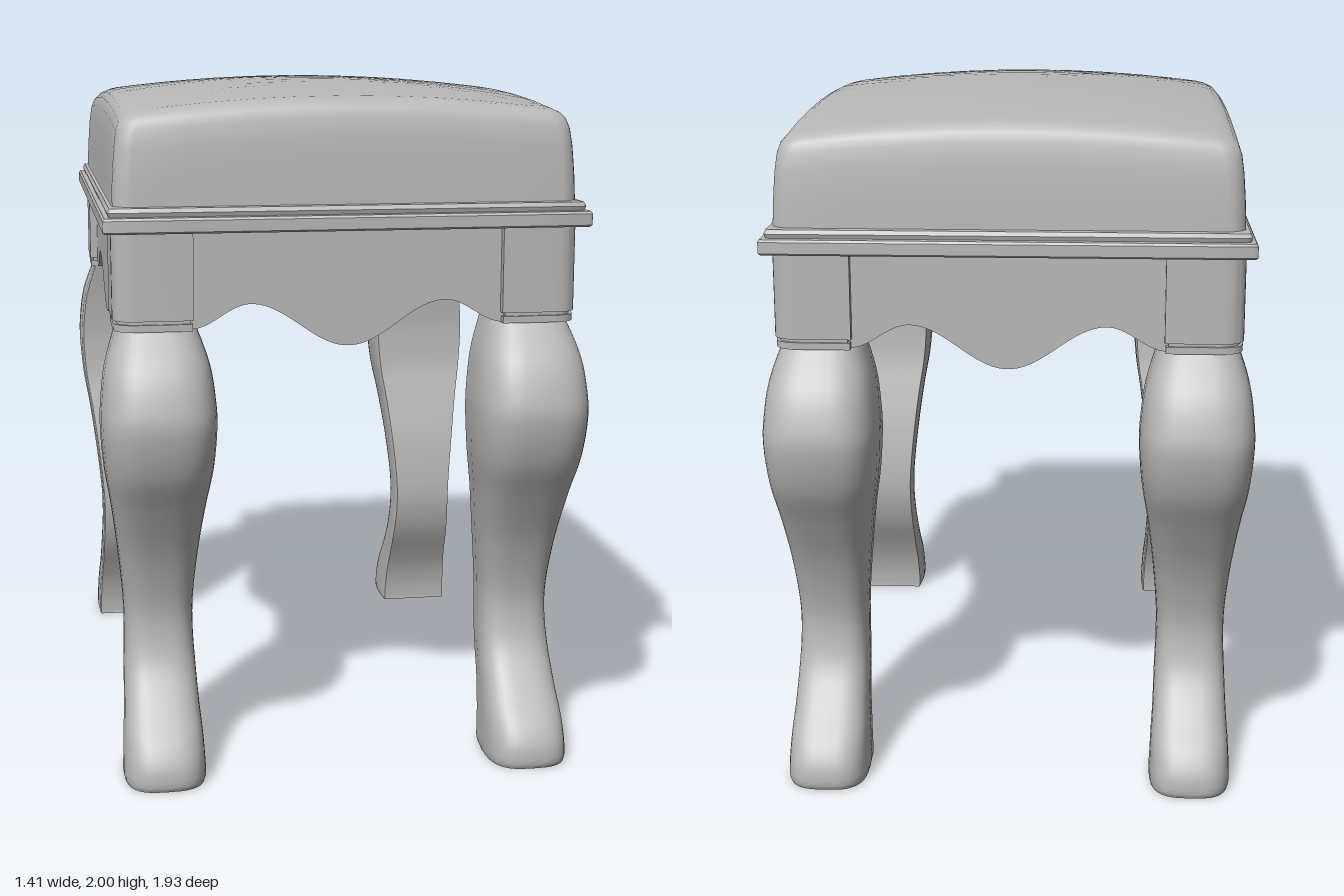
import * as THREE from 'three';
import { toCreasedNormals } from 'three/addons/utils/BufferGeometryUtils.js';

const material = new THREE.MeshStandardMaterial({ color: 0xb8b8b8 });
material.name = 'plain grey';

function part(name, geometry, parent) {
  const mesh = new THREE.Mesh(geometry, material);
  mesh.name = name;
  parent.add(mesh);
  return mesh;
}

// Skin over closed rings listed from bottom to top, with flat end caps
function loft(rings, crease) {
  const n = rings[0].length, pos = [], index = [];
  rings.forEach(r => r.forEach(p => pos.push(...p)));
  for (let i = 0; i < rings.length - 1; i++) {
    for (let j = 0; j < n; j++) {
      const a = i * n + j, b = i * n + (j + 1) % n;
      index.push(a, b, b + n, a, b + n, a + n);
    }
  }
  [0, rings.length - 1].forEach((r, top) => {
    const c = pos.length / 3;
    pos.push(...[0, 1, 2].map(k => rings[r].reduce((s, p) => s + p[k], 0) / n));
    for (let j = 0; j < n; j++) {
      const a = r * n + j, b = r * n + (j + 1) % n;
      index.push(c, top ? a : b, top ? b : a);
    }
  });
  const g = new THREE.BufferGeometry();
  g.setAttribute('position', new THREE.Float32BufferAttribute(pos, 3));
  g.setIndex(index);
  return toCreasedNormals(g, crease);
}

// Rounded rectangle as [x, z] points, counter-clockwise from above
function roundedLoop(hx, hz, r) {
  const pts = [], line = 8, arc = 6;
  const corners = [[1, 1], [-1, 1], [-1, -1], [1, -1]];
  corners.forEach(([sx, sy], q) => {
    const cx = sx * (hx - r), cy = sy * (hz - r);
    for (let k = 0; k <= arc; k++) {
      const a = (q + k / arc) * Math.PI / 2;
      pts.push([cx + r * Math.cos(a), -(cy + r * Math.sin(a))]);
    }
    const [nx, ny] = corners[(q + 1) % 4];
    const a = (q + 1) * Math.PI / 2;
    const from = [cx + r * Math.cos(a), cy + r * Math.sin(a)];
    const to = [nx * (hx - r) + r * Math.cos(a), ny * (hz - r) + r * Math.sin(a)];
    for (let k = 1; k < line; k++) {
      const t = k / line;
      pts.push([from[0] + (to[0] - from[0]) * t, -(from[1] + (to[1] - from[1]) * t)]);
    }
  });
  return pts;
}

// Domed cushion: walls rise to the dome height, then rings shrink to the centre
function cushionGeometry() {
  const dome = (x, z) => 2 - 0.042 * (x / 0.62) ** 2 - 0.04 * (z / 0.8) ** 2;
  const rings = [];
  const wall = [[0, 0], [0.004, 0.35], [0.01, 0.65], [0.017, 0.83], [0.026, 0.92], [0.04, 0.97], [0.06, 0.993], [0.085, 1]];
  for (const [inset, t] of wall) {
    rings.push(roundedLoop(0.663 - inset, 0.843 - inset, 0.05)
      .map(([x, z]) => [x, 1.65 + (dome(x, z) - 1.65) * t, z]));
  }
  for (const s of [0.9, 0.75, 0.6, 0.45, 0.3, 0.15, 0.03]) {
    rings.push(roundedLoop(0.578, 0.758, 0.05).map(([x, z]) => [x * s, dome(x * s, z * s), z * s]));
  }
  return loft(rings, 1.0);
}

// Stepped moulding around the seat board
function boardGeometry() {
  const steps = [[0.688, 0.883, 1.597], [0.692, 0.887, 1.602], [0.692, 0.887, 1.634], [0.687, 0.882, 1.641],
    [0.674, 0.864, 1.642], [0.678, 0.868, 1.654], [0.672, 0.862, 1.666], [0.655, 0.835, 1.668]];
  return loft(steps.map(([x, z, y]) => roundedLoop(x, z, 0.012).map(p => [p[0], y, p[1]])), 0.6);
}

// Cabriole leg facing +z: height, inner z, outer z, half width
function legGeometry() {
  const stations = [
    [0, 0.70, 0.945, 0.117], [0.02, 0.7, 0.952, 0.12], [0.07, 0.695, 0.945, 0.118], [0.13, 0.68, 0.91, 0.115],
    [0.2, 0.65, 0.845, 0.11], [0.3, 0.6, 0.77, 0.106], [0.4, 0.572, 0.741, 0.102], [0.5, 0.569, 0.744, 0.104],
    [0.65, 0.587, 0.79, 0.118], [0.8, 0.62, 0.865, 0.137], [0.92, 0.647, 0.932, 0.156], [1.04, 0.657, 0.965, 0.165],
    [1.12, 0.655, 0.958, 0.162], [1.22, 0.645, 0.918, 0.148], [1.33, 0.625, 0.832, 0.112]];
  const depth = new THREE.CatmullRomCurve3(stations.map(s => new THREE.Vector3(s[1], s[0], s[2])), false, 'catmullrom');
  const width = new THREE.CatmullRomCurve3(stations.map(s => new THREE.Vector3(s[3], s[0], 0)), false, 'catmullrom');
  // Flat back with a rounded, boxy front
  const section = [[-0.94, 0], [-0.5, 0], [0, 0], [0.5, 0], [0.94, 0], [0.98, 0.05]].reverse();
  for (let k = 20; k >= 0; k--) {
    const a = k / 20 * Math.PI, c = Math.cos(a);
    section.push([Math.sign(c) * Math.abs(c) ** 0.65, 0.35 + 0.65 * Math.sin(a) ** 0.65]);
  }
  const rings = [];
  for (let i = 0; i <= 56; i++) {
    const d = depth.getPoint(i / 56), w = width.getPoint(i / 56).x;
    rings.push(section.map(([u, v]) => [u * w, d.y, d.x + (d.z - d.x) * v]));
  }
  return loft(rings, 0.8);
}

// Square post whose outer corner is rounded
function postGeometry(sx, sz, inset, y0, y1) {
  const x0 = 0.442 + inset, x1 = 0.667 - inset, z0 = 0.62 + inset, z1 = 0.85 - inset, r = 0.07;
  const s = new THREE.Shape();
  s.moveTo(sx * x0, -sz * z0);
  s.lineTo(sx * x1, -sz * z0);
  s.lineTo(sx * x1, -sz * (z1 - r));
  s.quadraticCurveTo(sx * x1, -sz * z1, sx * (x1 - r), -sz * z1);
  s.lineTo(sx * x0, -sz * z1);
  s.closePath();
  const g = new THREE.ExtrudeGeometry(s, { depth: y1 - y0, bevelEnabled: false, curveSegments: 10 });
  g.rotateX(-Math.PI / 2).translate(0, y0, 0);
  return toCreasedNormals(g, 0.6);
}

// Scalloped board: two arches and a central drop
function apronGeometry(half, end, peak, peakY, dropY) {
  const s = new THREE.Shape();
  s.moveTo(-half, 1.6);
  const n = 80;
  for (let i = 0; i <= n; i++) {
    const x = -half + 2 * half * i / n, a = Math.abs(x);
    const t = a < peak ? a / peak : Math.min(1, (a - peak) / (end - peak));
    const ease = (1 - Math.cos(Math.PI * t)) / 2;
    s.lineTo(x, a < peak ? dropY + (peakY - dropY) * ease : peakY + (1.322 - peakY) * ease);
  }
  s.lineTo(half, 1.6);
  s.closePath();
  const g = new THREE.ExtrudeGeometry(s, { depth: 0.05, bevelEnabled: false });
  return toCreasedNormals(g, 0.6);
}

export function createModel() {
  const model = new THREE.Group();
  model.name = 'stool';
  part('cushion', cushionGeometry(), model);
  part('seatBoard', boardGeometry(), model);

  // Legs with their posts and collars
  const leg = legGeometry();
  for (const sx of [1, -1]) {
    for (const sz of [1, -1]) {
      const corner = new THREE.Group();
      corner.name = (sz > 0 ? 'front' : 'back') + (sx > 0 ? 'Left' : 'Right') + 'Leg';
      model.add(corner);
      const mesh = part('cabrioleLeg', leg, corner);
      mesh.position.x = sx * 0.541;
      mesh.rotation.y = sz > 0 ? 0 : Math.PI;
      part('post', postGeometry(sx, sz, 0, 1.35, 1.6), corner);
      part('groove', postGeometry(sx, sz, 0.01, 1.338, 1.352), corner);
      part('collar', postGeometry(sx, sz, 0.003, 1.32, 1.34), corner);
    }
  }

  // Scalloped aprons on all four sides
  const shortApron = apronGeometry(0.46, 0.45, 0.28, 1.39, 1.265);
  const longApron = apronGeometry(0.64, 0.6, 0.4, 1.4, 1.255);
  for (const s of [1, -1]) {
    const turn = s > 0 ? 0 : Math.PI;
    const a = part(s > 0 ? 'frontApron' : 'backApron', shortApron, model);
    a.rotation.y = turn;
    a.position.z = s * 0.775;
    const b = part(s > 0 ? 'leftApron' : 'rightApron', longApron, model);
    b.rotation.y = turn + Math.PI / 2;
    b.position.x = s * 0.592;
  }
  return model;
}
